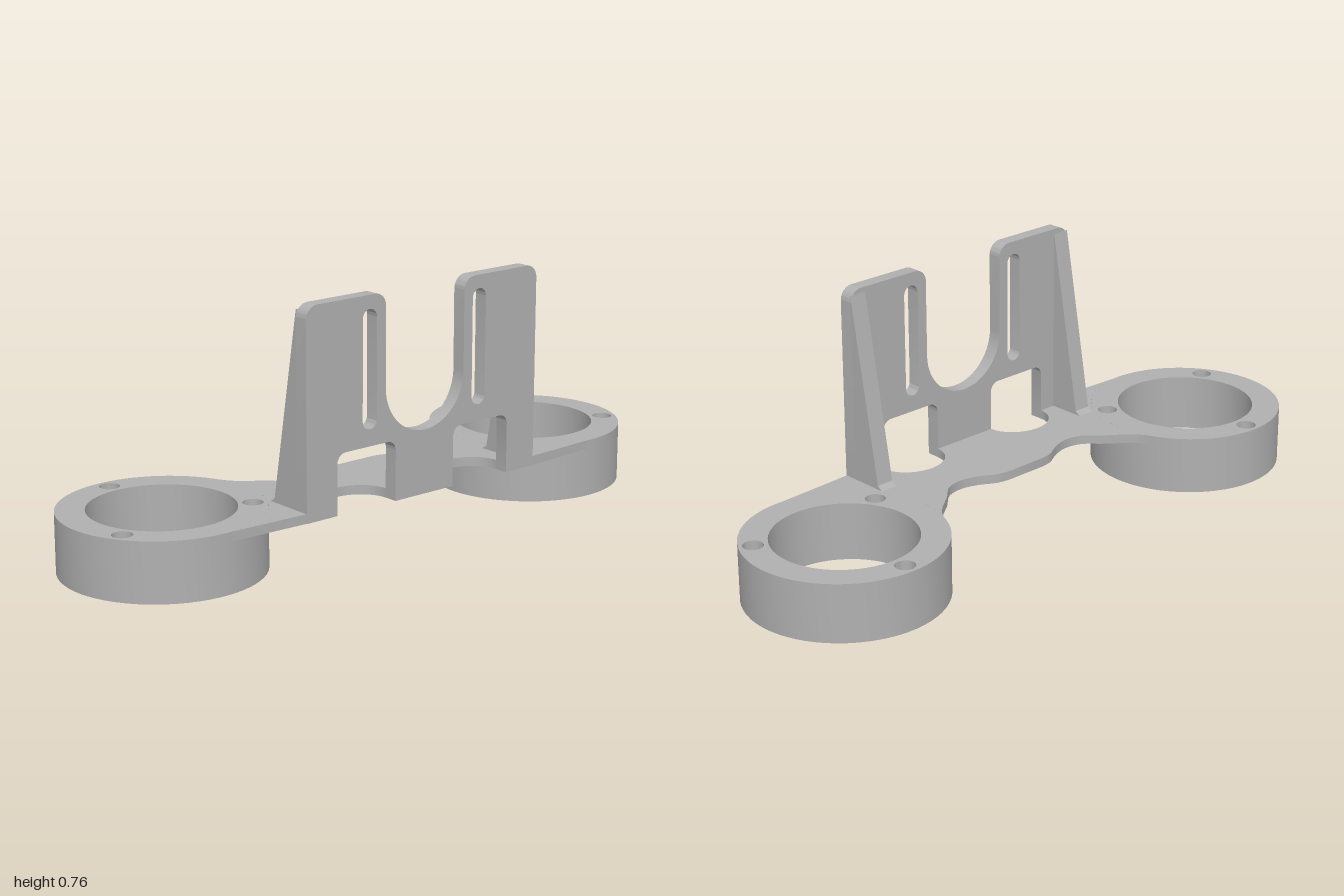
import * as THREE from 'three';
import { toCreasedNormals } from 'three/addons/utils/BufferGeometryUtils.js';

const TOP = 0.178, UNDER = 0.15;          // plate top and underside
const RX = 0.702, RZ = -0.007, RR = 0.298; // ring centre and radius
const WALL_BACK = 0.262, WALL_FRONT = 0.305, WALL_X = 0.435;

const metal = new THREE.MeshStandardMaterial({ color: 0xb0b0b0 });
metal.name = 'grey metal';

function extrude(shape, depth) {
  return new THREE.ExtrudeGeometry(shape, { depth, bevelEnabled: false, curveSegments: 32 });
}

// Extrude a shape drawn in (x, z) downward from the given top
function slab(shape, top, depth) {
  return extrude(shape, depth).rotateX(Math.PI / 2).translate(0, top, 0);
}

function part(name, geometry) {
  const mesh = new THREE.Mesh(toCreasedNormals(geometry, 0.5), metal);
  mesh.name = name;
  return mesh;
}

// Closed shape from its right half, mirrored about x = 0
function mirroredShape(half) {
  const left = half.map(p => new THREE.Vector2(-p.x, p.y)).reverse();
  return new THREE.Shape([...half, ...left]);
}

function hole(x, y, r) {
  return new THREE.Path().absarc(x, y, r, 0, Math.PI * 2, true);
}

// Clamp ring with a large bore and three screw holes
function ringGeometry() {
  const s = new THREE.Shape().absarc(0, 0, RR, 0, Math.PI * 2, false);
  s.holes.push(hole(0, 0, 0.213));
  for (let i = 0; i < 3; i++) {
    const a = -Math.PI / 2 + i * Math.PI * 2 / 3;
    s.holes.push(hole(Math.cos(a) * 0.256, Math.sin(a) * 0.256, 0.03));
  }
  return slab(s, TOP, TOP);
}

// Thin bridge between the rings, wavy at the back and notched at the front
function bridgeGeometry() {
  const v = (x, z) => new THREE.Vector2(x, z);
  const a0 = Math.PI + 0.43, a1 = Math.PI / 2 + 0.06;
  const start = v(RX + RR * Math.cos(a0), RZ + RR * Math.sin(a0));
  const p = new THREE.Path().moveTo(0.07, -0.007);
  p.splineThru([v(0.11, 0.001), v(0.165, 0.03), v(0.22, 0.043), v(0.275, 0.03),
    v(0.325, -0.015), v(0.385, -0.062), v(0.412, -0.093), start]);
  p.absarc(RX, RZ, RR, a0, a1, true);
  p.lineTo(WALL_X, 0.303);
  p.lineTo(WALL_X, WALL_BACK);
  p.lineTo(0.325, WALL_BACK);
  p.absellipse(0.218, WALL_BACK, 0.107, 0.094, 0, Math.PI, true);
  return slab(mirroredShape(p.getPoints(32)), TOP, TOP - UNDER);
}

// Upright wall with a U cut-out, two windows open at the bottom, two slots
function wallGeometry() {
  const r = 0.04, h = 0.765, u = 0.148, w = 0.03, q = Math.PI / 2;
  const p = new THREE.Path().moveTo(0.11, UNDER);
  p.lineTo(0.11, 0.33 - w);
  p.absarc(0.11 + w, 0.33 - w, w, Math.PI, q, true);
  p.absarc(0.325 - w, 0.33 - w, w, q, 0, true);
  p.lineTo(0.325, UNDER);
  p.lineTo(WALL_X, UNDER);
  p.absarc(WALL_X - r, h - r, r, 0, q, false);
  p.absarc(u + r, h - r, r, q, Math.PI, false);
  p.absarc(0, 0.49, u, 0, -q, true);
  const s = mirroredShape(p.getPoints(24));
  for (const x of [-0.207, 0.207]) {
    const slot = new THREE.Path();
    slot.absarc(x, 0.699, 0.026, 0, Math.PI, false);
    slot.absarc(x, 0.406, 0.026, Math.PI, Math.PI * 2, false);
    slot.closePath();
    s.holes.push(slot);
  }
  return extrude(s, WALL_FRONT - WALL_BACK).translate(0, 0, WALL_BACK);
}

// Tapered brace behind the wall, with a small chamfer at its foot
function gussetGeometry() {
  const profile = [[0.145, TOP], [WALL_BACK, TOP], [WALL_BACK, 0.75], [0.162, 0.19]];
  const s = new THREE.Shape(profile.map(([z, y]) => new THREE.Vector2(-z, y)));
  return extrude(s, 0.055).rotateY(Math.PI / 2);
}

export function createModel() {
  const model = new THREE.Group();
  model.name = 'mountingBracket';
  model.add(part('bridgePlate', bridgeGeometry()), part('uprightWall', wallGeometry()));
  for (const [side, sign] of [['left', 1], ['right', -1]]) {
    const ring = part(side + 'Ring', ringGeometry());
    ring.position.set(sign * RX, 0, RZ);
    const gusset = part(side + 'Gusset', gussetGeometry());
    gusset.position.x = sign > 0 ? WALL_X - 0.055 : -WALL_X;
    model.add(ring, gusset);
  }
  return model;
}
